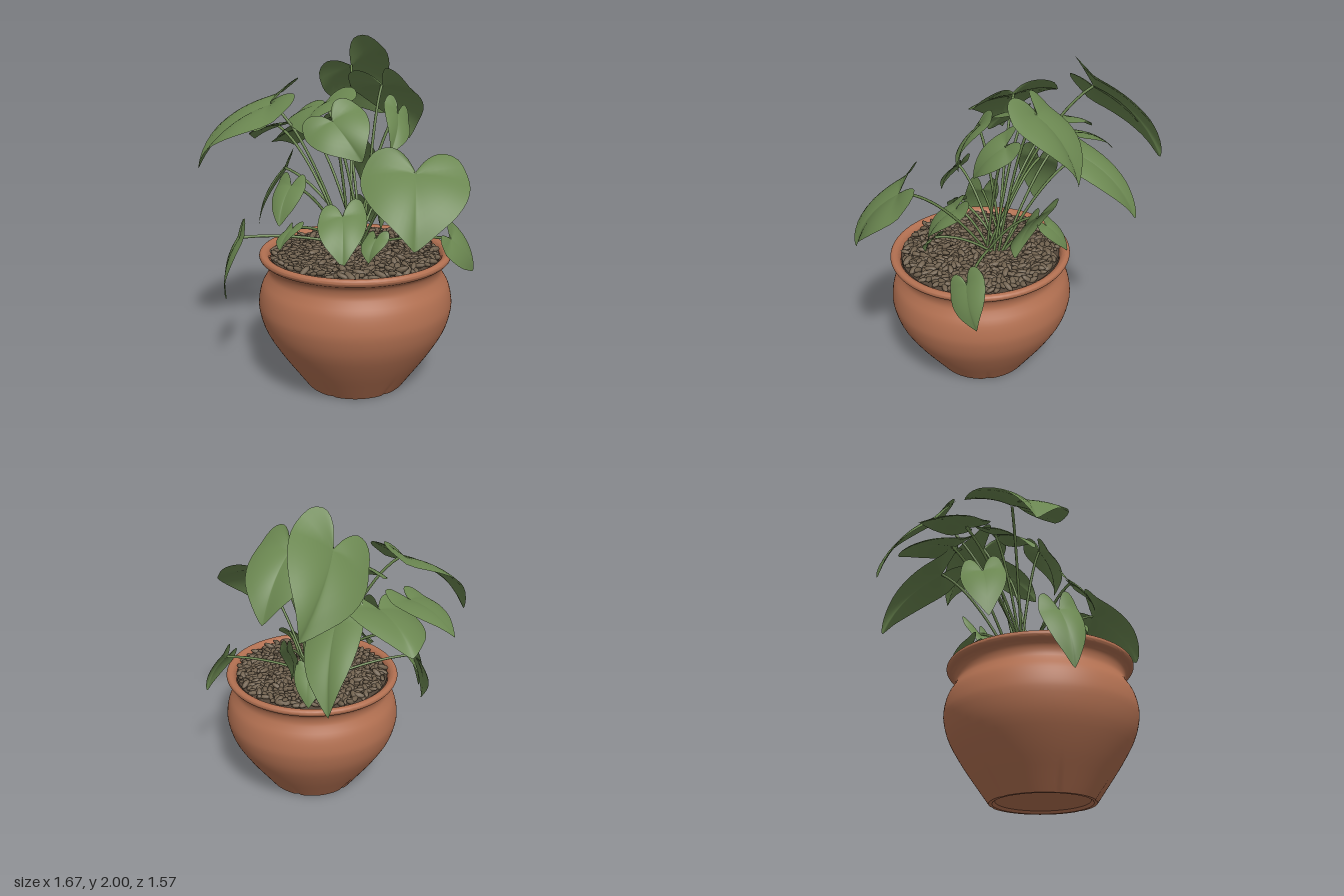
import * as THREE from 'three';
import { mergeGeometries, toCreasedNormals } from 'three/addons/utils/BufferGeometryUtils.js';

const V = (x, y, z) => new THREE.Vector3(x, y, z);
const POT = V(0.11, 0, 0.22);

function material(name, color, side = THREE.FrontSide) {
  const m = new THREE.MeshStandardMaterial({ color, side });
  m.name = name;
  return m;
}

function seeded(seed) {
  return () => (seed = (seed * 16807) % 2147483647) / 2147483647;
}

// Turned pot with a recessed base and narrow pinched drainage grooves
function potGeometry() {
  const outside = [
    [0.30, 0], [0.36, 0.085], [0.45, 0.215], [0.528, 0.35], [0.56, 0.46], [0.56, 0.53], [0.543, 0.6],
    [0.515, 0.65], [0.499, 0.685], [0.501, 0.72], [0.515, 0.745], [0.542, 0.762], [0.553, 0.78],
    [0.547, 0.796], [0.53, 0.802], [0.505, 0.79], [0.49, 0.76], [0.485, 0.7],
  ].map(([r, y]) => new THREE.Vector2(r, y));
  const base = [[0, 0.015], [0.265, 0.015], [0.28, 0]].map(([r, y]) => new THREE.Vector2(r, y));
  const g = new THREE.LatheGeometry([...base, ...new THREE.SplineCurve(outside).getPoints(52)], 180);
  const p = g.attributes.position;
  for (let i = 0; i < p.count; i++) {
    const x = p.getX(i), y = p.getY(i), z = p.getZ(i);
    const r = Math.hypot(x, z), fade = 1 - y / 0.14;
    if (fade <= 0 || r < 0.29) continue;
    const step = Math.PI / 3, angle = Math.atan2(x, z);
    const off = Math.abs(angle - Math.round(angle / step) * step);
    const k = 1 - 0.03 * fade * Math.max(0, 1 - off / (0.02 + 0.06 * fade));
    p.setXYZ(i, x * k, y, z * k);
  }
  return toCreasedNormals(g, 0.7);
}

// Elongated pebbles scattered evenly over the soil
function pebbleGeometry() {
  const rand = seeded(77), parts = [], count = 720;
  const m = new THREE.Matrix4(), q = new THREE.Quaternion();
  for (let i = 0; i < count; i++) {
    const r = 0.47 * Math.sqrt((i + 0.5) / count), a = i * 2.39996;
    q.setFromEuler(new THREE.Euler((rand() - 0.5) * 0.9, rand() * 6.283, (rand() - 0.5) * 0.9));
    const size = 0.8 + rand() * 0.4;
    m.compose(
      V(r * Math.sin(a), 0.776 + rand() * 0.022, r * Math.cos(a)), q,
      V(0.036 * size, 0.014 * size, 0.017 * size));
    parts.push(new THREE.SphereGeometry(1, 8, 6).applyMatrix4(m));
  }
  return mergeGeometries(parts);
}

// Half outline of a heart-shaped blade: across, along (notch at 0, tip at 1)
const halfOutline = new THREE.SplineCurve([
  [0, -0.01], [0.2, -0.2], [0.48, -0.31], [0.8, -0.24], [0.98, 0.04], [0.94, 0.32],
  [0.72, 0.58], [0.38, 0.8], [0.12, 0.95], [0, 1],
].map(([t, s]) => new THREE.Vector2(t, s))).getPoints(24);

// Blade spun out in rings from the stalk joint, arched along and curled across
function bladeGeometry(notch, tip, side, phase) {
  const along = tip.clone().sub(notch), length = along.length(), width = side.length();
  const up = along.clone().cross(side).normalize();
  if (up.y < 0) up.negate();
  const outline = [...halfOutline,
    ...halfOutline.slice(1, -1).reverse().map((p) => new THREE.Vector2(-p.x, p.y))];
  const rings = 7, n = outline.length, pos = [], index = [];
  for (let k = 0; k <= rings; k++) {
    outline.forEach(({ x, y }, j) => {
      const f = k / rings, t = x * f, s = 0.02 + (y - 0.02) * f;
      const arch = 0.42 * length * (s > 0 ? s * (1 - s) : 0.5 * s * Math.abs(s));
      const curl = width * (0.2 * Math.abs(t) * (1 - Math.abs(t)) - 0.1 * t * t);
      const ripple = 0.06 * width * f * f * Math.sin((j / n) * 6 * Math.PI + phase);
      const v = notch.clone().addScaledVector(along, s).addScaledVector(side, t)
        .addScaledVector(up, arch + curl + ripple);
      pos.push(v.x, v.y, v.z);
      if (k < rings) {
        const a = k * n + j, b = k * n + ((j + 1) % n);
        if (k > 0) index.push(a, b, a + n);
        index.push(b, b + n, a + n);
      }
    });
  }
  const g = new THREE.BufferGeometry();
  g.setAttribute('position', new THREE.Float32BufferAttribute(pos, 3));
  g.setIndex(index);
  g.computeVertexNormals();
  return g;
}

// Stalk rising steeply from the soil and bending over to the blade
function stalkGeometry(notch, i) {
  const root = V(0.07 + 0.05 * Math.sin(i * 2.4), 0.77, 0.14 + 0.05 * Math.cos(i * 2.4));
  const bend = root.clone().lerp(notch, 0.55);
  bend.y = root.y + (notch.y - root.y) * 0.8 + 0.04;
  const curve = new THREE.QuadraticBezierCurve3(root, bend, notch);
  return new THREE.TubeGeometry(curve, 18, 0.0085, 7);
}

export function createModel() {
  const group = new THREE.Group();
  group.name = 'pottedPlant';
  const terracotta = material('terracotta', 0xb27051);
  const pebble = material('pebble', 0x70614e);
  const soil = material('soil', 0x54473a);
  const leafGreen = material('leafGreen', 0x6a8650, THREE.DoubleSide);
  const stalkGreen = material('stalkGreen', 0x6a854e);

  const add = (name, geometry, mat, parent = group) => {
    const mesh = new THREE.Mesh(geometry, mat);
    mesh.name = name;
    parent.add(mesh);
    return mesh;
  };

  add('pot', potGeometry(), terracotta).position.copy(POT);
  add('soil', new THREE.CylinderGeometry(0.488, 0.488, 0.04, 64), soil).position.set(POT.x, 0.755, POT.z);
  add('pebbles', pebbleGeometry(), pebble).position.copy(POT);

  let count = 0;
  const leaf = (name, notch, tip, side) => {
    const g = new THREE.Group(), n = V(...notch);
    g.name = name;
    add('blade', bladeGeometry(n, V(...tip), V(...side), count), leafGreen, g);
    add('stalk', stalkGeometry(n, count++), stalkGreen, g);
    group.add(g);
  };

  // Large upper leaves: stalk joint, tip, half width
  leaf('topBackLeaf', [-0.2, 1.81, -0.36], [-0.16, 1.47, -0.78], [0.18, 0.14, -0.07]);
  leaf('upperBackLeaf', [0.11, 1.71, -0.14], [0.18, 1.37, -0.43], [0.21, 0.01, 0.02]);
  leaf('upperRightLeaf', [-0.43, 1.61, 0.23], [-0.8, 1.25, 0.48], [0.12, -0.07, 0.25]);
  leaf('frontLeftLeaf', [0.57, 1.33, 0.47], [0.67, 1.0, 0.73], [0.25, -0.02, -0.12]);
  leaf('backRightLeaf', [-0.4, 1.43, -0.15], [-0.64, 1.26, -0.37], [0.17, 0.05, -0.15]);
  leaf('farRightLeaf', [-0.54, 1.45, -0.01], [-0.82, 1.32, -0.17], [0.07, 0.02, -0.13]);
  leaf('innerRightLeaf', [-0.18, 1.61, 0.04], [-0.18, 1.46, 0.29], [0.21, 0.07, 0.01]);
  leaf('upperFrontLeaf', [-0.01, 1.54, 0.27], [0.2, 1.33, 0.31], [0.12, 0.09, -0.11]);

  // Middle leaves
  leaf('hangingLeftLeaf', [0.26, 1.57, -0.03], [0.3, 1.36, 0.16], [0.06, -0.06, -0.05]);
  leaf('lowerBackLeaf', [-0.2, 1.38, -0.3], [-0.27, 1.0, -0.65], [0.15, -0.05, -0.03]);
  leaf('middleFrontLeaf', [-0.15, 1.2, 0.49], [-0.15, 1.0, 0.62], [0.1, 0, 0.01]);
  leaf('middleRightLeaf', [-0.45, 1.2, 0.06], [-0.59, 0.83, 0.15], [0.07, 0.04, 0.11]);

  // Low leaves around the rim
  leaf('drapingRightLeaf', [-0.5, 0.86, 0.5], [-0.55, 0.5, 0.58], [0.08, 0.03, 0.09]);
  leaf('lowFrontLeaf', [0.11, 1.03, 0.38], [0.2, 0.8, 0.55], [0.11, 0.02, -0.09]);
  leaf('smallFrontLeaf', [0.33, 0.94, 0.41], [0.32, 0.82, 0.49], [0.075, 0.01, 0]);
  leaf('smallRightLeaf', [-0.14, 0.96, 0.5], [-0.18, 0.85, 0.58], [0.07, 0.02, 0.02]);
  leaf('lowBackLeaf', [0.13, 1.1, -0.17], [0.17, 0.81, -0.04], [-0.07, 0.05, -0.08]);
  leaf('smallBackLeaf', [0.0, 0.98, -0.17], [-0.04, 0.81, -0.29], [0.09, 0, 0]);
  leaf('drapingLeftLeaf', [0.63, 0.88, 0.05], [0.73, 0.67, -0.06], [-0.01, 0.07, -0.1]);

  return group;
}
